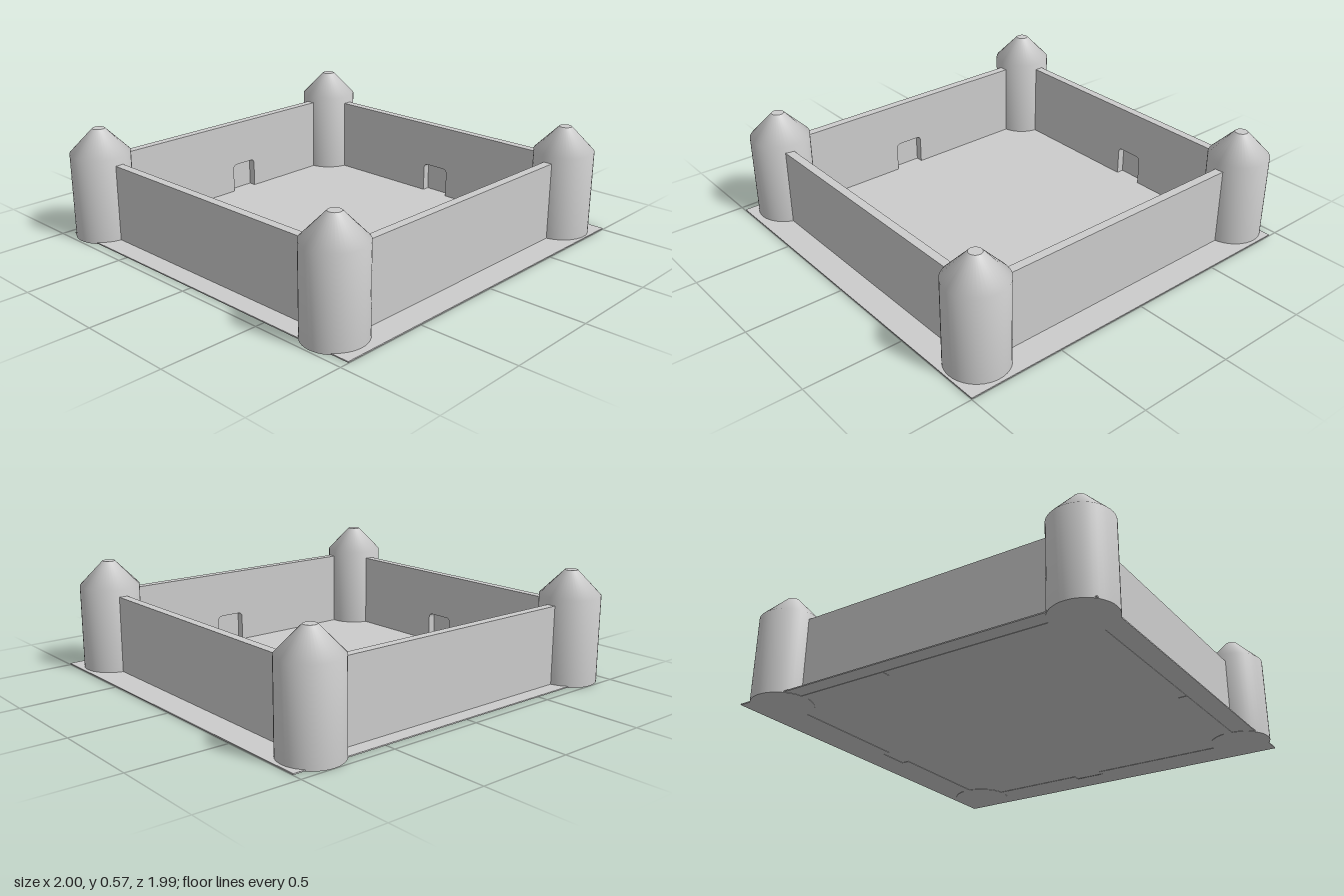
import * as THREE from 'three';

const material = new THREE.MeshStandardMaterial({ color: 0xcccccc });

function addMesh(parent, name, geometry, x = 0, y = 0, z = 0) {
  const mesh = new THREE.Mesh(geometry, material);
  mesh.name = name;
  mesh.position.set(x, y, z);
  parent.add(mesh);
  return mesh;
}

// Round tower: straight shaft flowing smoothly into a truncated cone roof
function createTower(name, x, z) {
  const tower = new THREE.Group();
  tower.name = name;
  tower.position.set(x, 0, z);
  const radius = 0.153, topRadius = 0.032, shoulder = 0.445, height = 0.57;
  const profile = [[radius, 0], [radius, shoulder], [topRadius, height]]
    .map(([r, y]) => new THREE.Vector2(r, y));
  addMesh(tower, 'towerShaft', new THREE.LatheGeometry(profile, 40));
  addMesh(tower, 'towerTop', new THREE.CircleGeometry(topRadius, 40).rotateX(-Math.PI / 2), 0, height);
  addMesh(tower, 'towerBase', new THREE.CircleGeometry(radius, 40).rotateX(Math.PI / 2));
  return tower;
}

// Wall along local x with its inner face toward +z and a recessed doorway on that face
function createWall({ name, from, to, doorFrom, doorTo, height, x, z, turn }) {
  const wall = new THREE.Group();
  wall.name = name;
  wall.position.set(x, 0, z);
  wall.rotation.y = turn;
  const thickness = 0.045, back = 0.005, doorHeight = 0.165, corner = 0.025;

  const outline = new THREE.Shape();
  outline.moveTo(from, 0);
  outline.lineTo(doorFrom, 0);
  outline.lineTo(doorFrom, doorHeight - corner);
  outline.quadraticCurveTo(doorFrom, doorHeight, doorFrom + corner, doorHeight);
  outline.lineTo(doorTo - corner, doorHeight);
  outline.quadraticCurveTo(doorTo, doorHeight, doorTo, doorHeight - corner);
  outline.lineTo(doorTo, 0);
  outline.lineTo(to, 0);
  outline.lineTo(to, height);
  outline.lineTo(from, height);
  outline.closePath();

  const inner = new THREE.ExtrudeGeometry(outline, {
    depth: thickness - back, bevelEnabled: false, curveSegments: 6,
  });
  addMesh(wall, 'wallWithDoorway', inner, 0, 0, back);
  addMesh(wall, 'outerWallFace', new THREE.BoxGeometry(to - from, height, back),
    (from + to) / 2, height / 2, back / 2);
  return wall;
}

export function createModel() {
  const model = new THREE.Group();
  model.name = 'walledCourtyard';

  // Thin ground slab, offset toward the back left
  addMesh(model, 'ground', new THREE.BoxGeometry(1.95, 0.006, 1.955), 0.025, 0.005, -0.0225);

  // Corner towers
  const towers = [
    ['backRightTower', -0.845, -0.828], ['backLeftTower', 0.835, -0.828],
    ['frontRightTower', -0.845, 0.835], ['frontLeftTower', 0.81, 0.835],
  ];
  for (const [name, x, z] of towers) model.add(createTower(name, x, z));

  // Curtain walls between the towers
  const walls = [
    { name: 'backWall', from: -0.845, to: 0.835, doorFrom: -0.06, doorTo: 0.1,
      height: 0.405, x: 0, z: -0.856, turn: 0 },
    { name: 'frontWall', from: -0.81, to: 0.845, doorFrom: -0.11, doorTo: 0.05,
      height: 0.405, x: 0, z: 0.85, turn: Math.PI },
    { name: 'rightWall', from: -0.835, to: 0.828, doorFrom: 0.03, doorTo: 0.185,
      height: 0.41, x: -0.872, z: 0, turn: Math.PI / 2 },
    { name: 'leftWall', from: -0.828, to: 0.835, doorFrom: -0.17, doorTo: -0.01,
      height: 0.41, x: 0.862, z: 0, turn: -Math.PI / 2 },
  ];
  for (const wall of walls) model.add(createWall(wall));

  return model;
}
